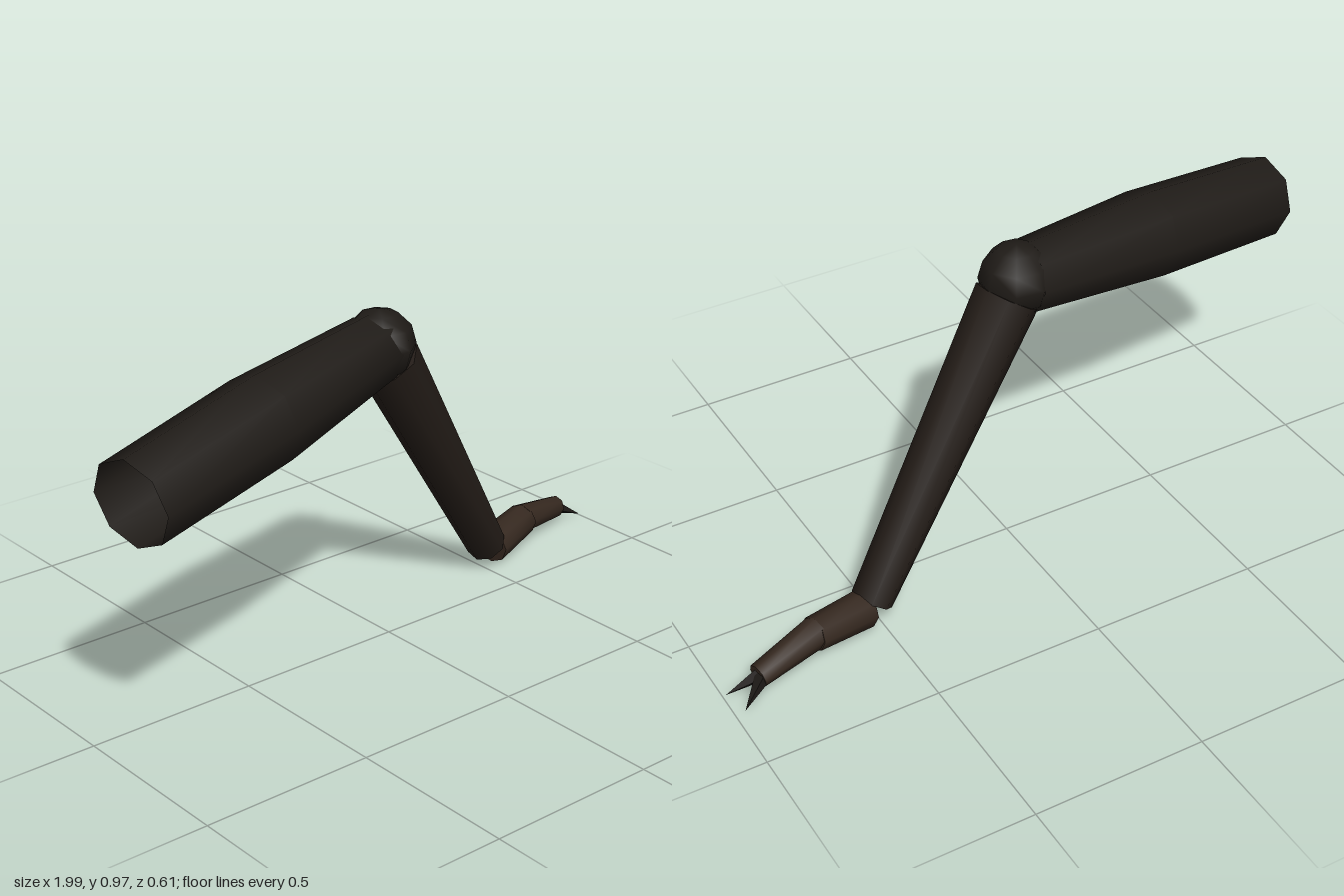
import * as THREE from 'three';
import { toCreasedNormals } from 'three/addons/utils/BufferGeometryUtils.js';

const SIDES = 8;
const shell = new THREE.MeshStandardMaterial({ color: 0x1f1b17, side: THREE.DoubleSide });
const shin = new THREE.MeshStandardMaterial({ color: 0x231c17, side: THREE.DoubleSide });
const foot = new THREE.MeshStandardMaterial({ color: 0x35281f, side: THREE.DoubleSide });
const horn = new THREE.MeshStandardMaterial({ color: 0x1c1815, side: THREE.DoubleSide });

// Tapered tube through rings of [x, y, z, radius], each square to the path
function limb(name, rings, material, { sides = SIDES, capStart = false, capEnd = false } = {}) {
  const centres = rings.map(([x, y, z]) => new THREE.Vector3(x, y, z));
  const pos = [], index = [];
  const last = rings.length - 1;
  centres.forEach((c, i) => {
    const t = centres[Math.min(i + 1, last)].clone().sub(centres[Math.max(i - 1, 0)]).normalize();
    const u = new THREE.Vector3(0, 1, 0).addScaledVector(t, -t.y).normalize();
    const v = t.clone().cross(u);
    for (let k = 0; k < sides; k++) {
      const a = (k / sides) * Math.PI * 2;
      const p = c.clone().addScaledVector(u, Math.cos(a) * rings[i][3]).addScaledVector(v, Math.sin(a) * rings[i][3]);
      pos.push(p.x, p.y, p.z);
    }
  });
  const startCentre = pos.length / 3, endCentre = startCentre + 1;
  pos.push(...centres[0].toArray(), ...centres[last].toArray());
  for (let k = 0; k < sides; k++) {
    const n = (k + 1) % sides;
    for (let i = 0; i < last; i++) {
      const a = i * sides + k, b = i * sides + n;
      index.push(a, b, a + sides, b, b + sides, a + sides);
    }
    if (capStart) index.push(startCentre, n, k);
    if (capEnd) index.push(endCentre, last * sides + k, last * sides + n);
  }
  const g = new THREE.BufferGeometry();
  g.setAttribute('position', new THREE.Float32BufferAttribute(pos, 3));
  g.setIndex(index);
  const mesh = new THREE.Mesh(toCreasedNormals(g, 1), material);
  mesh.name = name;
  return mesh;
}

// Sharp claw running from its root to its tip
function claw(name, root, tip) {
  const a = new THREE.Vector3(...root), b = new THREE.Vector3(...tip);
  const dir = b.clone().sub(a);
  const g = new THREE.ConeGeometry(0.024, dir.length(), 4);
  const mesh = new THREE.Mesh(toCreasedNormals(g, 0.8), horn);
  mesh.name = name;
  mesh.position.copy(a).add(b).multiplyScalar(0.5);
  mesh.quaternion.setFromUnitVectors(new THREE.Vector3(0, 1, 0), dir.normalize());
  return mesh;
}

export function createModel() {
  const leg = new THREE.Group();
  leg.name = 'insectLeg';

  // Thick upper leg, open where it meets the body
  leg.add(limb('upperLeg', [
    [-0.97, 0.74, 0.185, 0.124],
    [-0.5, 0.808, 0.085, 0.13],
    [-0.03, 0.871, -0.02, 0.1],
  ], shell));

  // Rounded knee
  const knee = new THREE.Mesh(new THREE.SphereGeometry(0.104, SIDES, 6), shell);
  knee.name = 'knee';
  knee.position.set(-0.02, 0.875, -0.018);
  knee.rotation.y = Math.PI / 12;
  leg.add(knee);

  // Straight lower leg
  leg.add(limb('lowerLeg', [
    [0.012, 0.83, -0.024, 0.091],
    [0.515, 0.075, -0.15, 0.06],
  ], shin, { capStart: true, capEnd: true }));

  // Two foot segments, the outer one slipping into the inner
  leg.add(limb('innerFoot', [
    [0.54, 0.06, -0.157, 0.056],
    [0.72, 0.083, -0.205, 0.049],
  ], foot, { capStart: true, capEnd: true }));
  leg.add(limb('outerFoot', [
    [0.705, 0.087, -0.202, 0.046],
    [0.905, 0.056, -0.25, 0.034],
  ], foot, { capStart: true, capEnd: true }));

  // Pair of claws
  leg.add(claw('backClaw', [0.89, 0.06, -0.255], [0.972, 0.01, -0.308]));
  leg.add(claw('frontClaw', [0.89, 0.06, -0.25], [0.993, 0.012, -0.23]));

  return leg;
}
